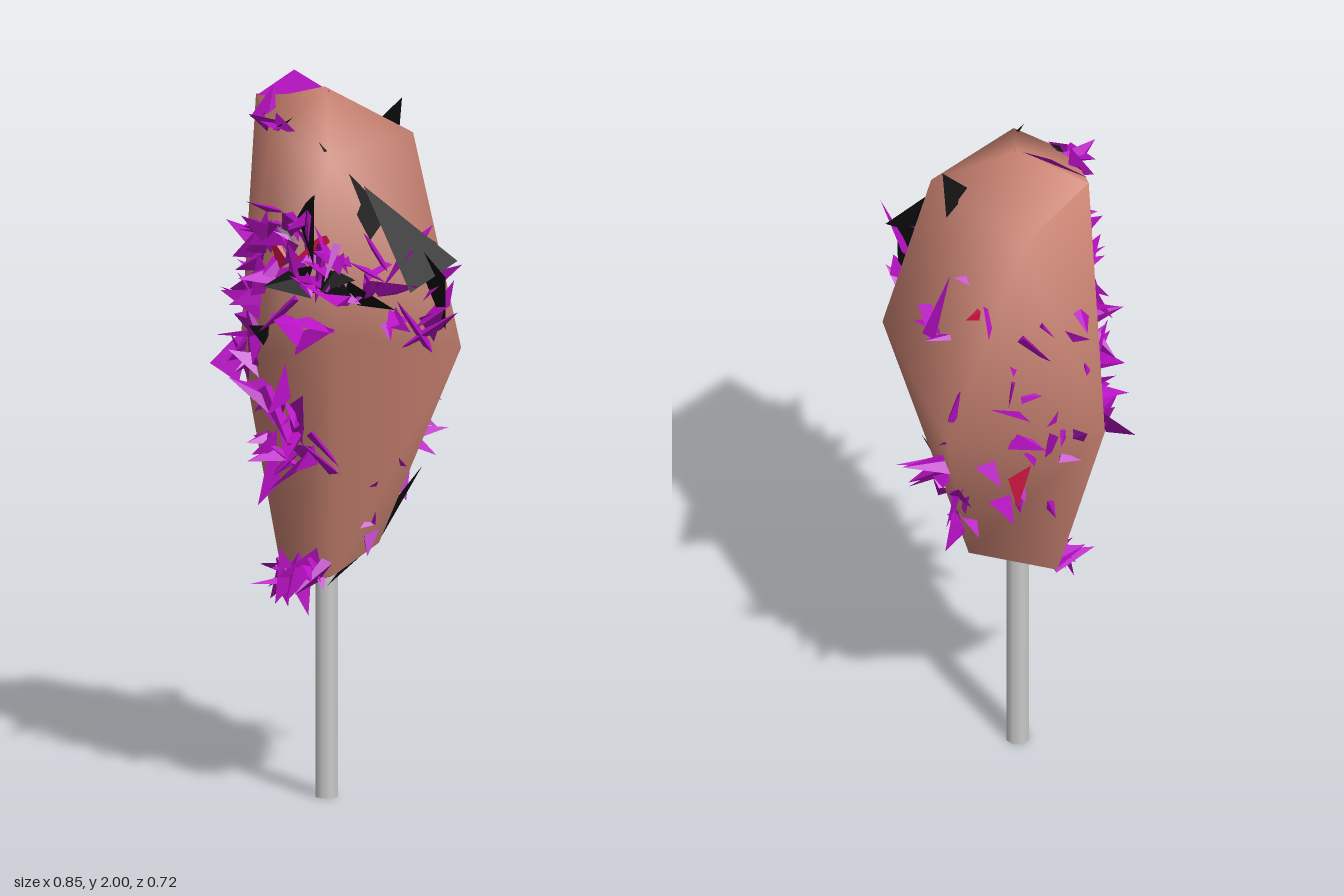
import * as THREE from 'three';
import { mergeGeometries, toCreasedNormals } from 'three/addons/utils/BufferGeometryUtils.js';

// Foam block corners, counter-clockwise from the front, as rings from the open bottom to the crown
const RINGS = [
  [[-0.01, 0.63, 0.06], [0.1, 0.72, 0.01], [-0.02, 0.77, -0.24], [-0.19, 0.62, -0.03], [-0.15, 0.59, 0.08]],
  [[0.08, 1.33, 0.25], [0.34, 1.28, 0], [0, 1.2, -0.34], [-0.37, 1.2, -0.12], [-0.17, 1.25, 0.18]],
  [[0.07, 1.83, 0.27], [0.17, 1.85, -0.06], [-0.16, 1.82, -0.2], [-0.27, 1.93, 0], [-0.14, 1.87, 0.18]],
  [[-0.06, 1.97, 0.01]],
];
const SIDES = 5;

function corner(level, side) {
  const ring = RINGS[level];
  return new THREE.Vector3(...ring[((side % SIDES) + SIDES) % SIDES % ring.length]);
}

// Four corners of a panel, and whether it folds outward along a-c or b-d
function panel(level, side) {
  const a = corner(level, side), b = corner(level, side + 1);
  const c = corner(level + 1, side + 1), d = corner(level + 1, side);
  const foldAC = Math.hypot(a.x + c.x, a.z + c.z) > Math.hypot(b.x + d.x, b.z + d.z);
  return { a, b, c, d, foldAC };
}

// Point on the foam: u runs round the corners, t runs up the rings
function surface(u, t) {
  const s = Math.floor(u), l = Math.min(Math.floor(t), 2);
  const { a, b, c, d, foldAC } = panel(l, s);
  const x = u - s, y = t - l;
  const mix = (p, q, i, r, j) => p.clone().addScaledVector(q.clone().sub(p), i).addScaledVector(r.clone().sub(p), j);
  if (foldAC) return x > y ? mix(b, a, 1 - x, c, y) : mix(d, c, x, a, 1 - y);
  return x + y < 1 ? mix(a, b, x, d, y) : mix(c, d, 1 - x, b, 1 - y);
}

function outward(u, t) {
  const e = 0.02;
  const du = surface(u + e, t).sub(surface(u - e, t));
  const dt = surface(u, t + e).sub(surface(u, t));
  return du.cross(dt).normalize();
}

function fromPoints(points) {
  const g = new THREE.BufferGeometry().setFromPoints(points);
  g.computeVertexNormals();
  return g;
}

function foamGeometry() {
  const pts = [];
  for (let l = 0; l < 3; l++) {
    for (let s = 0; s < SIDES; s++) {
      const { a, b, c, d, foldAC } = panel(l, s);
      if (l === 2) pts.push(a, b, c);
      else if (foldAC) pts.push(a, b, c, a, c, d);
      else pts.push(a, b, d, b, c, d);
    }
  }
  return toCreasedNormals(fromPoints(pts), 1.75);
}

function seeded(seed) {
  return () => {
    seed = (seed * 16807) % 2147483647;
    return seed / 2147483647;
  };
}

// Broad, flattened three-sided splinter, base sunk a little into the foam
function shard(u, t, rand, size) {
  const n = outward(u, t), pos = surface(u, t);
  const jitter = new THREE.Vector3(rand() - 0.5, rand() - 0.5, rand() - 0.5);
  const dir = n.clone().addScaledVector(jitter, 3);
  // splinters on the bottom rim hang down
  if (t < 0.1) dir.y -= 0.8;
  dir.normalize();
  if (dir.dot(n) < 0.1) dir.addScaledVector(n, 0.35 - dir.dot(n)).normalize();
  const len = size * (0.5 + rand());
  const g = new THREE.ConeGeometry(1, 1, 3).toNonIndexed();
  g.computeVertexNormals();
  g.translate(0, 0.25, 0);
  g.rotateY(rand() * 6.28);
  g.scale(len * 0.42, len, len * 0.12);
  g.rotateY(rand() * 6.28);
  g.applyQuaternion(new THREE.Quaternion().setFromUnitVectors(new THREE.Vector3(0, 1, 0), dir));
  g.translate(pos.x, pos.y, pos.z);
  g.deleteAttribute('uv');
  return g;
}

// Shard patches: u range, t range, count, size
const PATCHES = [
  [4.0, 5.0, 1.05, 1.7, 38, 0.12],
  [5.0, 5.75, 1.05, 1.5, 22, 0.12],
  [3.2, 4.0, 0.9, 1.6, 24, 0.11],
  [3.8, 4.4, 0.48, 0.85, 20, 0.12],
  [4.2, 5.0, 0.45, 0.6, 7, 0.1],
  [3.4, 4.8, 0.0, 0.08, 18, 0.1],
  [2.2, 2.9, 0.4, 1.65, 22, 0.1],
  [1.6, 2.1, 0.2, 0.7, 14, 0.11],
  [1.2, 2.0, 0.9, 1.8, 8, 0.08],
  [3.0, 4.6, 1.85, 2.2, 6, 0.08],
  [5.2, 5.9, 0.1, 0.6, 5, 0.06],
];

// Large bent flaps standing off the front left edge, the back and the crown
const BLACK_FLAPS = [
  [0.03, 1.87, 0.25, 0.2, 1.67, 0.17, 0.16, 1.6, 0.2],
  [0.14, 1.75, 0.2, 0.37, 1.54, 0.09, 0.27, 1.46, 0.18],
  [0.22, 1.62, 0.11, 0.37, 1.51, 0.17, 0.32, 1.34, 0.06],
  [0.17, 1.67, 0.13, 0.3, 1.58, 0.07, 0.24, 1.48, 0.13],
  [-0.03, 0.6, 0.06, 0.22, 0.94, -0.01, 0.1, 0.73, 0],
  [0.05, 1.86, -0.07, 0.11, 1.93, -0.12, 0.09, 1.8, -0.14],
];
const PURPLE_FLAPS = [
  [0.3, 1.5, 0.04, 0.42, 1.55, 0.17, 0.27, 1.42, 0.1],
  [0.31, 1.46, -0.02, 0.36, 1.42, 0.12, 0.25, 1.34, 0.12],
  [-0.33, 1.28, -0.12, -0.43, 1.16, -0.05, -0.33, 1.12, -0.02],
  [0.04, 1.68, -0.23, 0.07, 1.56, -0.35, 0.08, 1.46, -0.24],
  [-0.26, 1.93, 0.02, -0.17, 2, -0.03, -0.04, 1.96, 0.02],
];

function flap(c) {
  return fromPoints([0, 3, 6].map((i) => new THREE.Vector3(c[i], c[i + 1], c[i + 2])));
}

export function createModel() {
  const group = new THREE.Group();
  const add = (name, geometry, color) => {
    const material = new THREE.MeshStandardMaterial({ color, side: THREE.DoubleSide });
    const mesh = new THREE.Mesh(geometry, material);
    mesh.name = name;
    group.add(mesh);
  };

  add('foamBody', foamGeometry(), 0xcc8473);

  // Stick reaching up into the foam
  const stick = new THREE.CylinderGeometry(0.033, 0.033, 0.9, 8);
  stick.translate(-0.063, 0.45, -0.007);
  add('stick', stick, 0xcccccc);

  // Shards sorted by colour
  const rand = seeded(4271);
  const purple = PURPLE_FLAPS.map(flap), red = [], black = BLACK_FLAPS.map(flap);
  for (const [u0, u1, t0, t1, count, size] of PATCHES) {
    for (let i = 0; i < count; i++) {
      const u = u0 + (u1 - u0) * rand(), t = t0 + (t1 - t0) * rand(), pick = rand();
      const list = pick < 0.05 ? red : pick < 0.12 ? black : purple;
      list.push(shard(u, t, rand, size));
    }
  }
  add('purpleShards', mergeGeometries(purple), 0xb80fc4);
  add('redShards', mergeGeometries(red), 0xc0103c);
  add('blackShards', mergeGeometries(black), 0x0c0c0c);
  return group;
}
